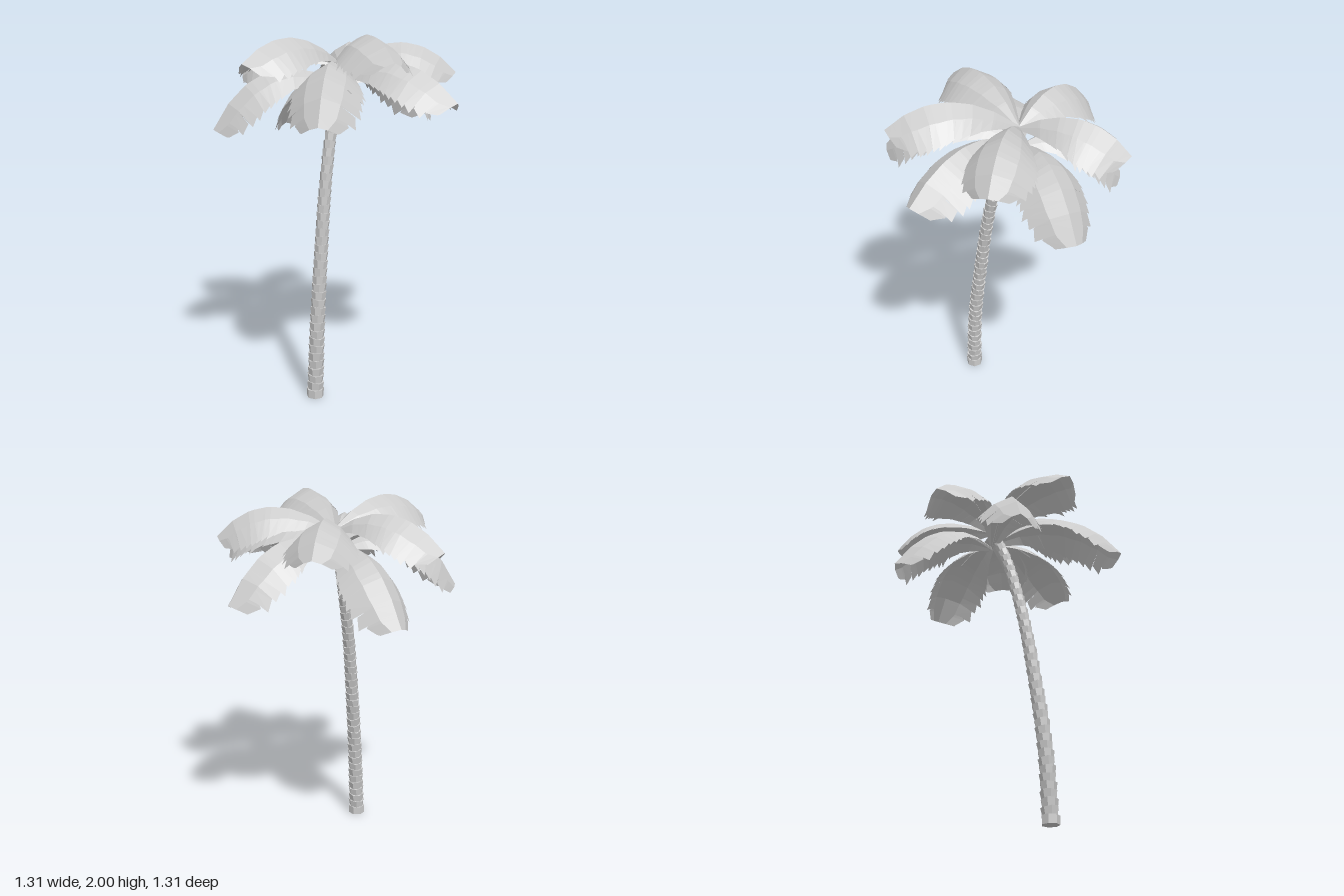
import * as THREE from 'three';

const trunkMat = new THREE.MeshStandardMaterial({ color: 0xcccccc, flatShading: true });
const leafMat = new THREE.MeshStandardMaterial({ color: 0xcccccc, flatShading: true, side: THREE.DoubleSide });
const V = (x, y, z) => new THREE.Vector3(x, y, z);
const UP = V(0, 1, 0);

let seed = 7;
function rand() {
  seed = (seed * 16807) % 2147483647;
  return seed / 2147483647;
}

// Linear interpolation through [t, value] pairs
function ramp(pairs, t) {
  for (let i = 1; i < pairs.length; i++) {
    const [t0, a] = pairs[i - 1], [t1, b] = pairs[i];
    if (t <= t1) return a + (b - a) * (t - t0) / (t1 - t0);
  }
  return pairs[pairs.length - 1][1];
}

// Leaning trunk: stacked flared rings with uneven rims
function makeTrunk() {
  const trunk = new THREE.Group();
  trunk.name = 'trunk';
  const path = new THREE.CatmullRomCurve3([
    V(0.1, 0, 0.29), V(0.095, 0.4, 0.268), V(0.072, 0.8, 0.222),
    V(0.042, 1.2, 0.163), V(0, 1.6, 0.07), V(-0.04, 1.79, 0.005),
  ]);
  const count = 42, sides = 7;
  for (let i = 0; i < count; i++) {
    const a = path.getPointAt(i / count), b = path.getPointAt((i + 1) / count);
    const r = 0.046 - 0.017 * (i / count), h = a.distanceTo(b) * 1.1;
    const geo = new THREE.CylinderGeometry(r * 1.06, r * (i ? 0.88 : 1.04), h, sides);
    const p = geo.attributes.position;
    for (let k = 0; k < p.count && i; k++) {
      const ang = Math.atan2(p.getX(k), p.getZ(k));
      if (Math.hypot(p.getX(k), p.getZ(k)) > 0.001) p.setY(k, p.getY(k) + 0.004 * Math.sin(2 * ang + i * 2.1));
    }
    const ring = new THREE.Mesh(geo, trunkMat);
    ring.name = 'trunkRing';
    ring.position.copy(a).add(b).multiplyScalar(0.5);
    if (i === 0) ring.position.y = h / 2;
    else ring.quaternion.setFromUnitVectors(UP, b.clone().sub(a).normalize());
    ring.rotateY(i * 0.45);
    trunk.add(ring);
  }
  return trunk;
}

// Half width of a frond along its length
const WIDTH = [[0, 0.015], [0.1, 0.055], [0.25, 0.115], [0.4, 0.155], [0.6, 0.185], [0.8, 0.18], [0.93, 0.15], [1, 0.085]];

// Arched frond: ridged cross-sections along a rib, with torn outer edges
function makeFrond([x, z, startY, bendY, tipY, scale, bendAt]) {
  const frond = new THREE.Group();
  frond.name = 'frond';
  const start = V(-0.05, startY, -0.01), tip = V(x, tipY, z);
  const bend = start.clone().lerp(tip, bendAt).setY(bendY);
  const rib = new THREE.QuadraticBezierCurve3(start, bend, tip);
  const ribPoints = rib.getPoints(6);
  const side = V(tip.z - start.z, 0, start.x - tip.x).normalize();

  // Rows follow the straight pieces of the rib; each leaflet has three rows
  const leaflets = 13, rows = [];
  for (let k = 0; k < leaflets; k++) {
    for (const s of [0, 0.22, 0.88]) rows.push({ t: (k + s) / leaflets, s });
  }
  rows.push({ t: 1, s: 0.88 });

  const positions = [], index = [];
  for (const { t, s } of rows) {
    const seg = Math.min(5, Math.floor(t * 6));
    const centre = ribPoints[seg].clone().lerp(ribPoints[seg + 1], t * 6 - seg);
    const tangent = rib.getTangent(t);
    const down = side.clone().cross(tangent).normalize();
    if (down.y > 0) down.negate();
    const w = ramp(WIDTH, t) * scale;
    const tear = () => {
      if (t < 0.2) return 1;
      const depth = t > 0.9 ? 0.2 : 0.1 + 0.36 * rand();
      return s === 0 ? 1 - depth : s < 0.5 ? 0.94 : 1 + 0.08 * rand();
    };
    const add = (out, drop, sweep) => {
      const p = centre.clone().addScaledVector(side, out * w)
        .addScaledVector(down, drop * w).addScaledVector(tangent, sweep);
      positions.push(p.x, p.y, p.z);
    };
    const sweep = s > 0.5 && t > 0.2 && t < 0.95 ? 0.022 : 0;
    const edgeDrop = (out) => 0.3 + (out - 0.52) * 1.05;
    const l = tear(), r = tear();
    add(-l, edgeDrop(l), sweep);
    add(-0.52, 0.3, 0);
    add(0, 0, 0);
    add(0.52, 0.3, 0);
    add(r, edgeDrop(r), sweep);
  }
  for (let i = 0; i < rows.length - 1; i++) {
    for (let j = 0; j < 4; j++) {
      const a = i * 5 + j, b = a + 1, c = a + 5, d = a + 6;
      index.push(a, b, d, a, d, c);
    }
  }
  let geo = new THREE.BufferGeometry();
  geo.setAttribute('position', new THREE.Float32BufferAttribute(positions, 3));
  geo.setIndex(index);
  geo = geo.toNonIndexed();
  geo.computeVertexNormals();
  const blade = new THREE.Mesh(geo, leafMat);
  blade.name = 'frondBlade';
  frond.add(blade);

  // Slim stalk under the blade
  const stalkPath = new THREE.CatmullRomCurve3(
    [0, 0.15, 0.3, 0.5].map((t) => rib.getPoint(t).add(V(0, -0.012 - 0.01 * t, 0))));
  const stalk = new THREE.Mesh(new THREE.TubeGeometry(stalkPath, 6, 0.006, 5), trunkMat);
  stalk.name = 'frondStalk';
  frond.add(stalk);
  return frond;
}

export function createModel() {
  const palm = new THREE.Group();
  palm.name = 'palmTree';
  palm.add(makeTrunk());

  // Fronds: tip x, tip z, start y, bend y, tip y, width scale, bend position
  const crown = new THREE.Group();
  crown.name = 'crown';
  const fronds = [
    // upper tier
    [0.6, 0.18, 1.83, 2.14, 1.88, 1, 0.55],
    [0.0, 0.65, 1.83, 2.11, 1.86, 1, 0.55],
    [-0.61, 0.25, 1.82, 2.06, 1.75, 1, 0.55],
    [-0.44, -0.46, 1.82, 2.05, 1.77, 1, 0.6],
    [0.37, -0.48, 1.82, 2.08, 1.78, 1, 0.6],
    // lower tier
    [0.65, -0.21, 1.74, 2.0, 1.66, 1, 0.55],
    [0.47, 0.54, 1.74, 2.05, 1.59, 1, 0.6],
    [-0.33, 0.63, 1.72, 1.97, 1.49, 0.95, 0.65],
    [-0.66, -0.08, 1.71, 1.88, 1.42, 0.95, 0.58],
    [-0.01, -0.66, 1.72, 1.96, 1.5, 0.95, 0.6],
  ];
  fronds.forEach((f) => crown.add(makeFrond(f)));

  // Bud joining the stalks
  const bud = new THREE.Mesh(new THREE.CylinderGeometry(0.012, 0.028, 0.06, 7), trunkMat);
  bud.name = 'crownBud';
  bud.position.set(-0.045, 1.79, -0.003);
  crown.add(bud);
  palm.add(crown);
  return palm;
}
